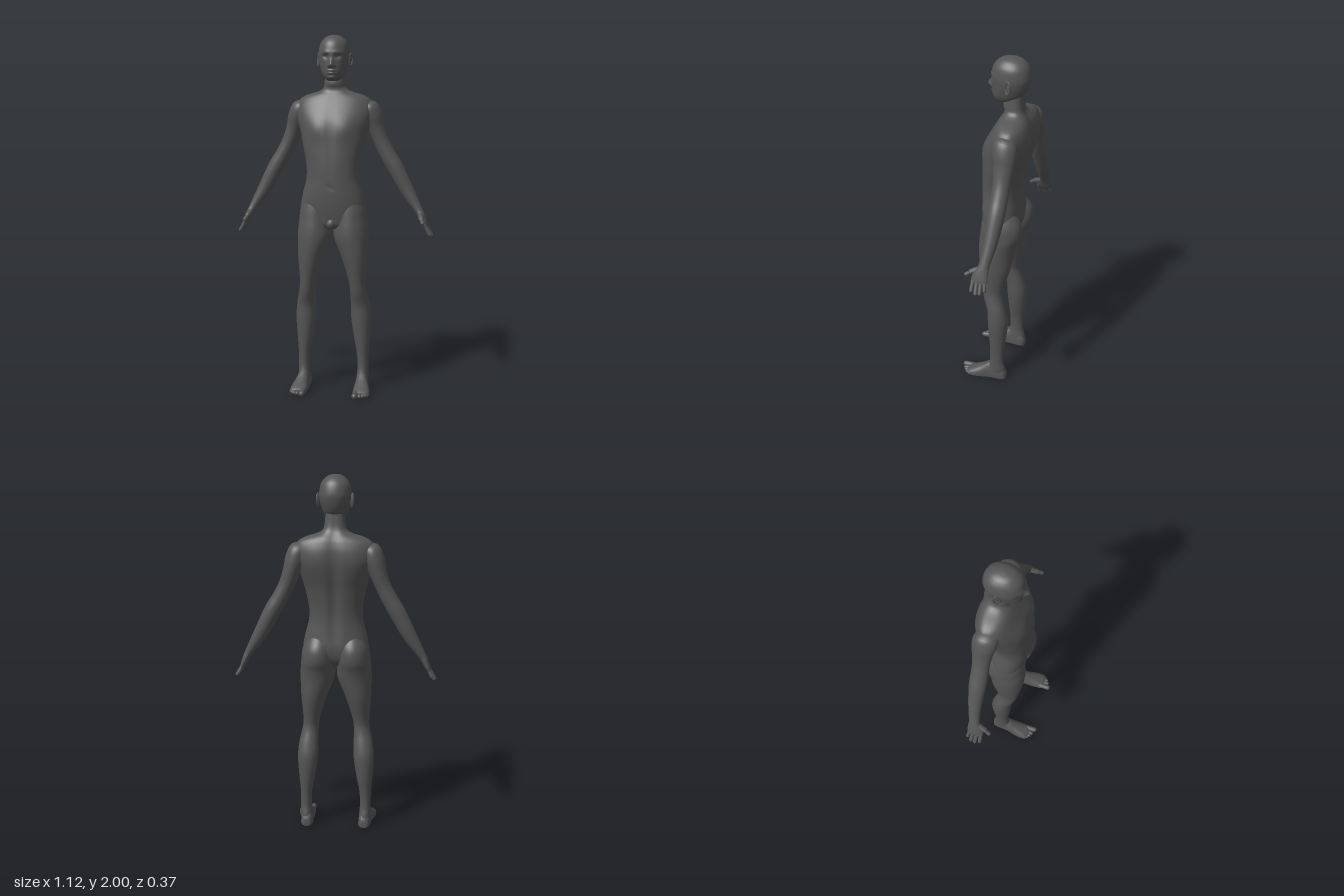
import * as THREE from 'three';

const skin = new THREE.MeshStandardMaterial({ color: 0x555555 });
skin.name = 'dark grey';

// Smoothly interpolates a list of cross-section rows
function smoothRows(rows, steps) {
  const out = [], at = i => rows[Math.max(0, Math.min(rows.length - 1, i))];
  for (let i = 0; i < rows.length - 1; i++) {
    for (let k = 0; k < steps; k++) {
      const t = k / steps;
      out.push(rows[i].map((p1, j) => {
        const p0 = at(i - 1)[j], p2 = at(i + 1)[j], p3 = at(i + 2)[j];
        return 0.5 * (2 * p1 + (p2 - p0) * t + (2 * p0 - 5 * p1 + 4 * p2 - p3) * t * t + (3 * p1 - p0 - 3 * p2 + p3) * t ** 3);
      }));
    }
  }
  out.push(at(rows.length - 1));
  return out;
}

// Closed skin through the rows; section(row, angle) gives each point
function loft(rows, section, { sides = 40, steps = 5, mirror = 1 } = {}) {
  const rings = smoothRows(rows, steps), pos = [], index = [];
  for (const row of rings) {
    for (let i = 0; i < sides; i++) {
      const [x, y, z] = section(row, i / sides * Math.PI * 2);
      pos.push(x * mirror, y, z);
    }
  }
  for (let r = 0; r < rings.length - 1; r++) {
    for (let i = 0; i < sides; i++) {
      const a = r * sides + i, b = r * sides + (i + 1) % sides, c = a + sides, d = b + sides;
      index.push(a, b, c, b, d, c);
    }
  }
  // End caps
  for (const r of [0, rings.length - 1]) {
    const mid = [0, 0, 0], centre = pos.length / 3;
    for (let i = 0; i < sides; i++) for (let k = 0; k < 3; k++) mid[k] += pos[(r * sides + i) * 3 + k] / sides;
    pos.push(...mid);
    for (let i = 0; i < sides; i++) {
      const a = r * sides + i, b = r * sides + (i + 1) % sides;
      if (r === 0) index.push(centre, b, a); else index.push(centre, a, b);
    }
  }
  // Turn the faces outward, judged by the enclosed volume
  let volume = 0;
  const v = i => new THREE.Vector3(pos[i * 3], pos[i * 3 + 1], pos[i * 3 + 2]);
  for (let i = 0; i < index.length; i += 3) volume += v(index[i]).dot(v(index[i + 1]).cross(v(index[i + 2])));
  if (volume < 0) index.reverse();
  const geo = new THREE.BufferGeometry();
  geo.setAttribute('position', new THREE.Float32BufferAttribute(pos, 3));
  geo.setIndex(index);
  geo.computeVertexNormals();
  return geo;
}

const power = (v, e) => Math.sign(v) * Math.abs(v) ** e;
const bell = (v, centre, width) => Math.exp(-(((v - centre) / width) ** 2));

// Horizontal section, row = [y, centre x, half width, front z, back z, z of the widest line]
const level = (e, relief) => ([y, cx, rx, zf, zb, zc], t) => {
  const c = power(Math.cos(t), e), s = power(Math.sin(t), e), x = cx + rx * c;
  const z = zc + (s > 0 ? (zf - zc) * s : (zc - zb) * s);
  return [x, y, z + (relief ? relief(x, y, s) : 0)];
};

// Section across an arm, row = [x, y, z, half thickness, half depth, tilt]
const across = ([x, y, z, r, rz, tilt], t) =>
  [x + r * Math.cos(t) * Math.cos(tilt), y + r * Math.cos(t) * Math.sin(tilt), z + rz * Math.sin(t)];

// Upright section of a foot with a flat sole, row = [z, centre x, half width, top y]
const footSection = ([z, cx, rx, top], t) => {
  const s = Math.sin(t);
  return [cx + rx * power(Math.cos(t), 0.8), 0.015 + (s > 0 ? (top - 0.015) * s : -0.015 * Math.abs(s) ** 0.4), z];
};

function torsoRelief(x, y, s) {
  const ax = Math.abs(x);
  if (s < 0) {
    const spine = 0.018 * bell(x, 0, 0.028) * bell(y, 1.38, 0.3);
    const blade = 0.007 * bell(ax, 0.11, 0.05) * bell(y, 1.53, 0.09);
    return -s * (spine - blade);
  }
  const chest = 0.01 * bell(ax, 0.085, 0.06) * bell(y, 1.49, 0.06);
  const middle = 0.004 * bell(x, 0, 0.015) * bell(y, 1.4, 0.18);
  const navel = 0.006 * bell(x, 0, 0.01) * bell(y, 1.17, 0.012);
  return s * (chest - middle - navel);
}

function faceRelief(x, y, s) {
  if (s <= 0) return 0;
  const ax = Math.abs(x);
  const nose = 0.027 * bell(x, 0, 0.011) * bell(y, 1.838, y > 1.838 ? 0.028 : 0.013);
  const nostrils = 0.01 * bell(ax, 0.013, 0.008) * bell(y, 1.832, 0.01);
  const sockets = 0.013 * bell(ax, 0.033, 0.018) * bell(y, 1.882, 0.013);
  const brow = 0.004 * bell(ax, 0.033, 0.025) * bell(y, 1.905, 0.01);
  const lips = 0.009 * bell(x, 0, 0.02) * (bell(y, 1.807, 0.006) + bell(y, 1.793, 0.006));
  const chin = 0.006 * bell(x, 0, 0.02) * bell(y, 1.768, 0.01);
  return nose + nostrils - sockets + brow + lips + chin;
}

const torsoRows = [
  [1.8, 0, 0.05, -0.03, -0.125, -0.08], [1.74, 0, 0.057, -0.018, -0.13, -0.08],
  [1.71, 0, 0.065, -0.025, -0.137, -0.085], [1.69, 0, 0.095, -0.022, -0.147, -0.09],
  [1.67, 0, 0.16, -0.01, -0.16, -0.095], [1.645, 0, 0.2, 0.005, -0.172, -0.1],
  [1.6, 0, 0.218, 0.03, -0.183, -0.1], [1.54, 0, 0.212, 0.06, -0.183, -0.095],
  [1.47, 0, 0.19, 0.077, -0.17, -0.07], [1.39, 0, 0.17, 0.085, -0.15, -0.04],
  [1.29, 0, 0.15, 0.09, -0.132, -0.025], [1.21, 0, 0.149, 0.09, -0.125, -0.02],
  [1.13, 0, 0.169, 0.088, -0.127, -0.02], [1.06, 0, 0.182, 0.082, -0.13, -0.025],
  [1.0, 0, 0.182, 0.073, -0.118, -0.03], [0.96, 0, 0.12, 0.066, -0.09, -0.02],
  [0.935, 0, 0.035, 0.05, -0.05, 0],
];
const headRows = [
  [2.0, 0, 0, -0.058, -0.06, -0.059], [1.995, 0, 0.03, -0.02, -0.095, -0.058],
  [1.98, 0, 0.055, 0.01, -0.127, -0.06], [1.95, 0, 0.077, 0.036, -0.152, -0.065],
  [1.9, 0, 0.086, 0.048, -0.164, -0.065], [1.86, 0, 0.083, 0.045, -0.158, -0.06],
  [1.82, 0, 0.074, 0.044, -0.142, -0.05], [1.79, 0, 0.064, 0.041, -0.12, -0.04],
  [1.765, 0, 0.048, 0.033, -0.08, -0.03], [1.75, 0, 0.025, 0.012, -0.05, -0.02],
];
const legRows = [
  [1.13, 0.09, 0.06, 0.05, -0.1, -0.02], [1.08, 0.094, 0.08, 0.065, -0.138, -0.025],
  [1.035, 0.097, 0.09, 0.073, -0.154, -0.03], [0.98, 0.099, 0.094, 0.079, -0.152, -0.03],
  [0.93, 0.101, 0.097, 0.084, -0.133, -0.02], [0.87, 0.105, 0.095, 0.085, -0.118, -0.015],
  [0.76, 0.125, 0.072, 0.076, -0.1, -0.012], [0.63, 0.14, 0.047, 0.057, -0.064, -0.005],
  [0.57, 0.146, 0.046, 0.047, -0.063, -0.01], [0.49, 0.155, 0.054, 0.022, -0.085, -0.035],
  [0.41, 0.159, 0.057, 0.017, -0.1, -0.042], [0.3, 0.164, 0.046, 0.01, -0.093, -0.042],
  [0.2, 0.169, 0.033, 0.002, -0.08, -0.038], [0.12, 0.17, 0.031, 0.004, -0.078, -0.036],
  [0.07, 0.168, 0.033, 0.02, -0.088, -0.036], [0.03, 0.167, 0.031, 0.02, -0.092, -0.036],
];
const armRows = [
  [0.14, 1.62, -0.09, 0.025, 0.04, 1.0], [0.19, 1.598, -0.095, 0.053, 0.064, 0.75],
  [0.213, 1.55, -0.1, 0.056, 0.066, 0.4], [0.232, 1.49, -0.105, 0.048, 0.057, 0.32],
  [0.262, 1.41, -0.105, 0.043, 0.048, 0.45], [0.3, 1.335, -0.105, 0.044, 0.047, 0.5],
  [0.343, 1.262, -0.105, 0.046, 0.047, 0.52], [0.412, 1.133, -0.101, 0.038, 0.037, 0.55],
  [0.473, 1.034, -0.09, 0.024, 0.03, 0.55], [0.492, 1.0, -0.081, 0.02, 0.039, 0.5],
  [0.51, 0.96, -0.076, 0.016, 0.045, 0.46], [0.521, 0.938, -0.075, 0.01, 0.042, 0.46],
];
const footRows = [
  [-0.096, 0.165, 0.01, 0.035], [-0.09, 0.165, 0.024, 0.055], [-0.07, 0.165, 0.033, 0.085],
  [-0.03, 0.167, 0.035, 0.11], [0.005, 0.169, 0.037, 0.105], [0.05, 0.174, 0.044, 0.075],
  [0.09, 0.178, 0.048, 0.053], [0.125, 0.178, 0.045, 0.036], [0.14, 0.172, 0.034, 0.026],
];
// Fingers and toes: start, end, radius
const fingers = [
  [[0.517, 0.945, -0.108], [0.533, 0.914, -0.113], 0.0095],
  [[0.517, 0.947, -0.087], [0.546, 0.898, -0.092], 0.0105],
  [[0.517, 0.947, -0.065], [0.548, 0.894, -0.069], 0.011],
  [[0.516, 0.947, -0.043], [0.541, 0.902, -0.042], 0.0105],
];
const thumb = [[[0.485, 1.008, -0.06], [0.494, 0.99, -0.026], 0.015], [[0.494, 0.99, -0.026], [0.503, 0.972, 0.001], 0.011]];
const toes = [
  [[0.15, 0.02, 0.11], [0.149, 0.016, 0.169], 0.016], [[0.174, 0.018, 0.11], [0.177, 0.013, 0.159], 0.011],
  [[0.19, 0.017, 0.1], [0.194, 0.012, 0.149], 0.0105], [[0.203, 0.016, 0.09], [0.207, 0.011, 0.137], 0.01],
  [[0.214, 0.016, 0.08], [0.217, 0.011, 0.123], 0.0095],
];

function mesh(name, geo) {
  const m = new THREE.Mesh(geo, skin);
  m.name = name;
  return m;
}

function ball(name, x, y, z, rx, ry, rz) {
  const m = mesh(name, new THREE.SphereGeometry(1, 20, 14));
  m.position.set(x, y, z);
  m.scale.set(rx, ry, rz);
  return m;
}

// Round-ended digit between two points
function digit(name, [a, b, r], side) {
  const p = new THREE.Vector3(a[0] * side, a[1], a[2]), q = new THREE.Vector3(b[0] * side, b[1], b[2]);
  const m = mesh(name, new THREE.CapsuleGeometry(r, p.distanceTo(q), 6, 14));
  m.position.copy(p).lerp(q, 0.5);
  m.quaternion.setFromUnitVectors(new THREE.Vector3(0, 1, 0), q.sub(p).normalize());
  return m;
}

export function createModel() {
  const body = new THREE.Group();
  body.name = 'standing figure';
  body.add(mesh('torso and neck', loft(torsoRows, level(0.88, torsoRelief), { sides: 72, steps: 6 })));
  body.add(mesh('head', loft(headRows, level(0.95, faceRelief), { sides: 120, steps: 10 })));
  body.add(ball('groin', 0, 0.965, 0.05, 0.028, 0.032, 0.034));

  for (const [side, word] of [[1, 'left'], [-1, 'right']]) {
    body.add(mesh(word + 'Leg', loft(legRows, level(1), { mirror: side })));
    body.add(mesh(word + 'Arm', loft(armRows, across, { mirror: side })));
    body.add(mesh(word + 'Foot', loft(footRows, footSection, { mirror: side })));
    for (const f of fingers) body.add(digit(word + 'Finger', f, side));
    for (const f of thumb) body.add(digit(word + 'Thumb', f, side));
    for (const t of toes) body.add(digit(word + 'Toe', t, side));
    body.add(ball(word + 'Eye', side * 0.033, 1.882, 0.014, 0.014, 0.009, 0.012));

    // Ear: thin shell with a raised rim
    const ear = new THREE.Group();
    ear.name = word + 'Ear';
    const rim = mesh('earRim', new THREE.TorusGeometry(0.017, 0.005, 8, 24));
    rim.scale.set(1, 1.9, 1);
    ear.add(rim, ball('earShell', 0, 0, -0.004, 0.016, 0.032, 0.006));
    ear.position.set(side * 0.09, 1.863, -0.07);
    ear.rotation.set(0, side * 1.15, side * -0.12);
    body.add(ear);
  }
  return body;
}
